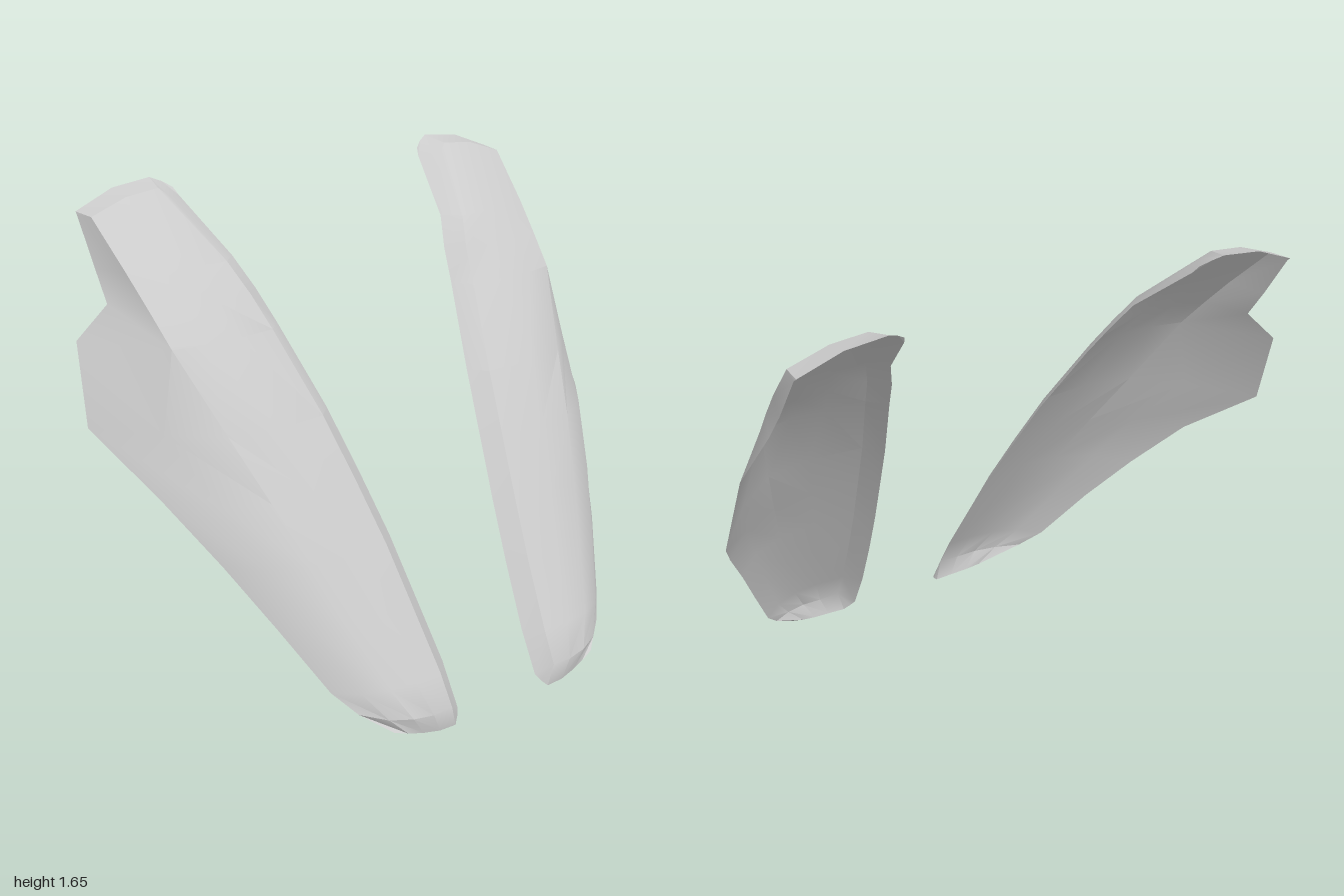
import * as THREE from 'three';
import { toCreasedNormals } from 'three/addons/utils/BufferGeometryUtils.js';

// Bottom and top ends: the back edge of the lip, and the front edge of the panel
const BOTTOM_LIP = [[.185, .02, .545], [.205, 0, .56], [.27, .003, .56], [.33, .012, .55], [.385, .025, .54], [.435, .042, .53]];
const BOTTOM_EDGE = [[.172, .04, .53], [.225, .075, .565], [.3, .072, .565], [.375, .08, .555], [.45, .09, .525], [.525, .11, .465]];
const TOP_EDGE = [[.505, 1.595, -.51], [.57, 1.61, -.46], [.6, 1.637, -.478], [.72, 1.625, -.475], [.85, 1.58, -.47], [.862, 1.575, -.54]];
const TOP_LIP = [[.515, 1.62, -.53], [.545, 1.64, -.55], [.58, 1.655, -.565], [.72, 1.64, -.563], [.855, 1.587, -.553], [.86, 1.585, -.553]];

// Level cross-section: bevelled inner rim, crease, bulged panel, knuckle, outer edge
function section(y, creaseX, creaseZ, bulge, knuckleX, knuckleZ, edgeX, edgeZ) {
  const panel = (t, amount) => [
    THREE.MathUtils.lerp(creaseX, knuckleX, t), y,
    THREE.MathUtils.lerp(creaseZ, knuckleZ, t) + amount * bulge,
  ];
  return [
    [creaseX - 0.055, y, creaseZ - 0.055], [creaseX, y, creaseZ],
    panel(0.37, 0.87), panel(0.7, 1),
    [knuckleX, y, knuckleZ], [edgeX, y, edgeZ],
  ];
}

const SECTIONS = [
  BOTTOM_LIP,
  BOTTOM_EDGE,
  section(.18, .23, .51, .023, .515, .465, .585, .4),
  section(.385, .255, .395, .03, .61, .34, .69, .26),
  section(.57, .28, .295, .04, .69, .225, .785, .115),
  section(.76, .315, .185, .055, .77, .09, .89, -.05),
  // side flare, then its notch
  section(.96, .355, .065, .087, .85, -.09, 1, -.3),
  section(1.22, .425, -.105, .02, .79, -.12, .975, -.385),
  section(1.325, .455, -.18, .02, .808, -.215, .87, -.365),
  section(1.425, .495, -.25, .018, .825, -.31, .865, -.44),
  TOP_EDGE,
  TOP_LIP,
];

// Skin the sections; the mirrored side reverses each section to keep faces outward
function shellGeometry(side) {
  const rows = SECTIONS.map(row => {
    const points = row.map(([x, y, z]) => [x * side, y, z]);
    return side < 0 ? points.reverse() : points;
  });
  const n = rows[0].length;
  const index = [];
  for (let i = 0; i < rows.length - 1; i++) {
    for (let j = 0; j < n - 1; j++) {
      const a = i * n + j, b = a + 1, c = a + n, d = c + 1;
      // the diagonal is mirrored together with the shape
      if (side > 0) index.push(a, b, d, a, d, c);
      else index.push(a, b, c, b, d, c);
    }
  }
  const geometry = new THREE.BufferGeometry();
  geometry.setAttribute('position', new THREE.Float32BufferAttribute(rows.flat(2), 3));
  geometry.setIndex(index);
  return toCreasedNormals(geometry, THREE.MathUtils.degToRad(33));
}

export function createModel() {
  const group = new THREE.Group();
  group.name = 'panelPair';
  const material = new THREE.MeshStandardMaterial({ color: 0xcccccc, side: THREE.DoubleSide });
  for (const side of [1, -1]) {
    const panel = new THREE.Mesh(shellGeometry(side), material);
    panel.name = side > 0 ? 'leftPanel' : 'rightPanel';
    group.add(panel);
  }
  return group;
}
